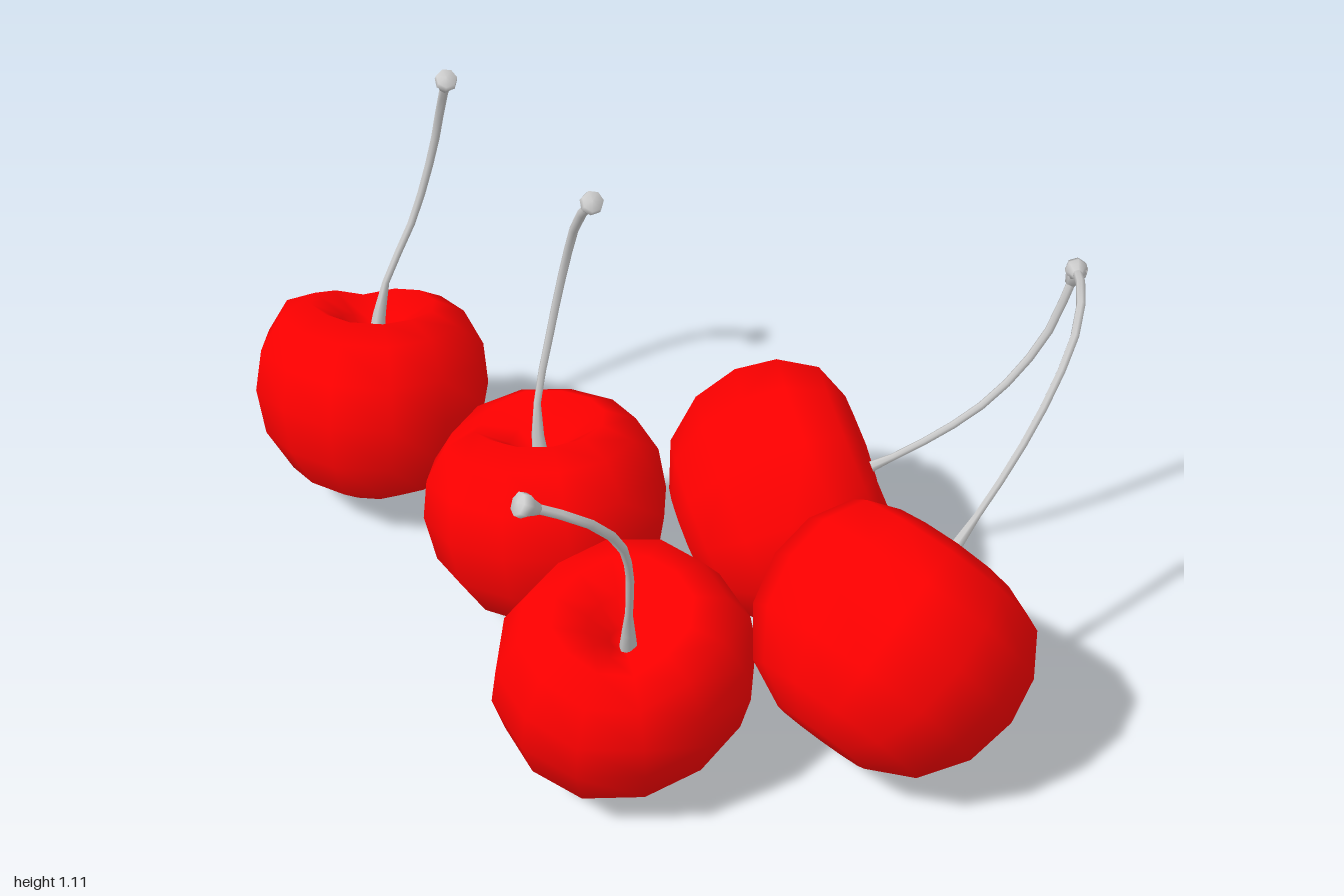
import * as THREE from 'three';
import { mergeVertices } from 'three/addons/utils/BufferGeometryUtils.js';

const red = new THREE.MeshStandardMaterial({ color: 0xff0000 });
const grey = new THREE.MeshStandardMaterial({ color: 0xcccccc, side: THREE.DoubleSide });
const UP = new THREE.Vector3(0, 1, 0);

// Half outline of a cherry from its base up over the rim into the dimple
const PROFILE = [
  [0, -0.235], [0.1, -0.232], [0.19, -0.185], [0.253, -0.09], [0.275, 0.02], [0.262, 0.12],
  [0.215, 0.205], [0.145, 0.235], [0.075, 0.19], [0.028, 0.14], [0, 0.12],
].map(([r, y]) => new THREE.Vector2(r, y));

// Lathed fruit, slightly squared, with a shallow seam that dips the rim on one side
function fruitGeometry(seam, square) {
  const geo = new THREE.LatheGeometry(PROFILE, 12);
  const p = geo.attributes.position;
  for (let i = 0; i < p.count; i++) {
    const x = p.getX(i), y = p.getY(i), z = p.getZ(i);
    const r = Math.hypot(x, z), angle = Math.atan2(z, x);
    const near = Math.max(0, Math.cos(angle - seam)) ** 6;
    const k = 1 - 0.03 * near + square * Math.sin(2 * angle) ** 2;
    const dip = 0.035 * near * THREE.MathUtils.smoothstep(y, 0, 0.2) * Math.min(1, r / 0.1);
    p.setXYZ(i, x * k, y - dip, z * k);
  }
  geo.deleteAttribute('normal');
  geo.deleteAttribute('uv');
  const merged = mergeVertices(geo, 1e-4);
  merged.computeVertexNormals();
  return merged;
}

// Thin tube along the points, flared where it meets the fruit
function stemGeometry(curve) {
  const rings = 10, sides = 6;
  const geo = new THREE.TubeGeometry(curve, rings, 0.0085, sides, false);
  const p = geo.attributes.position, v = new THREE.Vector3();
  for (let i = 0; i <= rings; i++) {
    const t = i / rings, c = curve.getPointAt(t);
    const k = 0.9 + 1.6 * Math.max(0, 1 - t * 5) + 0.35 * t;
    for (let j = 0; j <= sides; j++) {
      const n = i * (sides + 1) + j;
      v.fromBufferAttribute(p, n).sub(c).multiplyScalar(k).add(c);
      p.setXYZ(n, v.x, v.y, v.z);
    }
  }
  return geo;
}

function cherry({ name, centre, axis, size, seam, square = 0, turn = 0, stem }) {
  const group = new THREE.Group();
  group.name = name;

  const fruit = new THREE.Mesh(fruitGeometry(seam, square), red);
  fruit.name = 'fruit';
  fruit.position.set(...centre);
  fruit.quaternion.setFromUnitVectors(UP, new THREE.Vector3(...axis).normalize());
  fruit.rotateY(turn);
  fruit.scale.set(...size);
  group.add(fruit);

  const curve = new THREE.CatmullRomCurve3(stem.map((q) => new THREE.Vector3(...q)));
  const stalk = new THREE.Mesh(stemGeometry(curve), grey);
  stalk.name = 'stem';
  group.add(stalk);

  // Widened knob at the cut end of the stem
  const knob = new THREE.Mesh(new THREE.LatheGeometry([
    [0, -0.03], [0.012, -0.03], [0.019, -0.01], [0.025, 0], [0.023, 0.016], [0, 0.018],
  ].map(([r, y]) => new THREE.Vector2(r, y)), 7), grey);
  knob.name = 'stemTip';
  knob.position.copy(curve.getPointAt(1));
  knob.quaternion.setFromUnitVectors(UP, curve.getTangentAt(1));
  group.add(knob);
  return group;
}

const CHERRIES = [
  {
    name: 'cherryFarRight', centre: [-0.725, 0.298, 0.243], axis: [-0.17, 1, -0.2], size: [0.99, 0.96, 0.92], seam: -2.6, square: 0.05,
    stem: [[-0.76, 0.4, 0.2], [-0.775, 0.53, 0.155], [-0.775, 0.68, 0.06], [-0.755, 0.85, 0.01], [-0.72, 0.97, 0.01], [-0.655, 1.08, 0.04]],
  },
  {
    name: 'cherryCentre', centre: [-0.13, 0.3, 0.225], axis: [-0.18, 1, -0.1], size: [1.02, 0.95, 0.97], seam: 2.6,
    stem: [[-0.155, 0.4, 0.21], [-0.18, 0.53, 0.2], [-0.19, 0.72, 0.145], [-0.17, 0.88, 0.12], [-0.115, 1.02, 0.13], [-0.04, 1.11, 0.155]],
  },
  {
    name: 'cherryFront', centre: [0.365, 0.265, 0.43], axis: [0.16, 1, 0.16], size: [0.92, 0.96, 1.01], seam: 0.6, square: 0.04,
    stem: [[0.4, 0.37, 0.45], [0.43, 0.49, 0.475], [0.5, 0.7, 0.535], [0.54, 0.83, 0.6], [0.54, 0.92, 0.68], [0.5, 0.99, 0.785]],
  },
  {
    name: 'cherryBack', centre: [0.18, 0.3, -0.185], axis: [0.5, 0.35, -0.79], size: [1.16, 0.93, 1.06], seam: -1.4, turn: -0.564,
    stem: [[0.255, 0.335, -0.27], [0.35, 0.41, -0.45], [0.41, 0.49, -0.6], [0.45, 0.62, -0.72], [0.47, 0.775, -0.78]],
  },
  {
    name: 'cherryFarLeft', centre: [0.71, 0.335, 0.018], axis: [-0.03, 0.57, -0.82], size: [1.05, 1, 1.07], seam: -2.4, square: 0.03,
    stem: [[0.7, 0.42, -0.11], [0.7, 0.49, -0.2], [0.695, 0.62, -0.36], [0.68, 0.73, -0.48], [0.63, 0.795, -0.6], [0.56, 0.815, -0.69], [0.475, 0.785, -0.775]],
  },
];

export function createModel() {
  const model = new THREE.Group();
  model.name = 'cherries';
  CHERRIES.forEach((c) => model.add(cherry(c)));
  return model;
}
